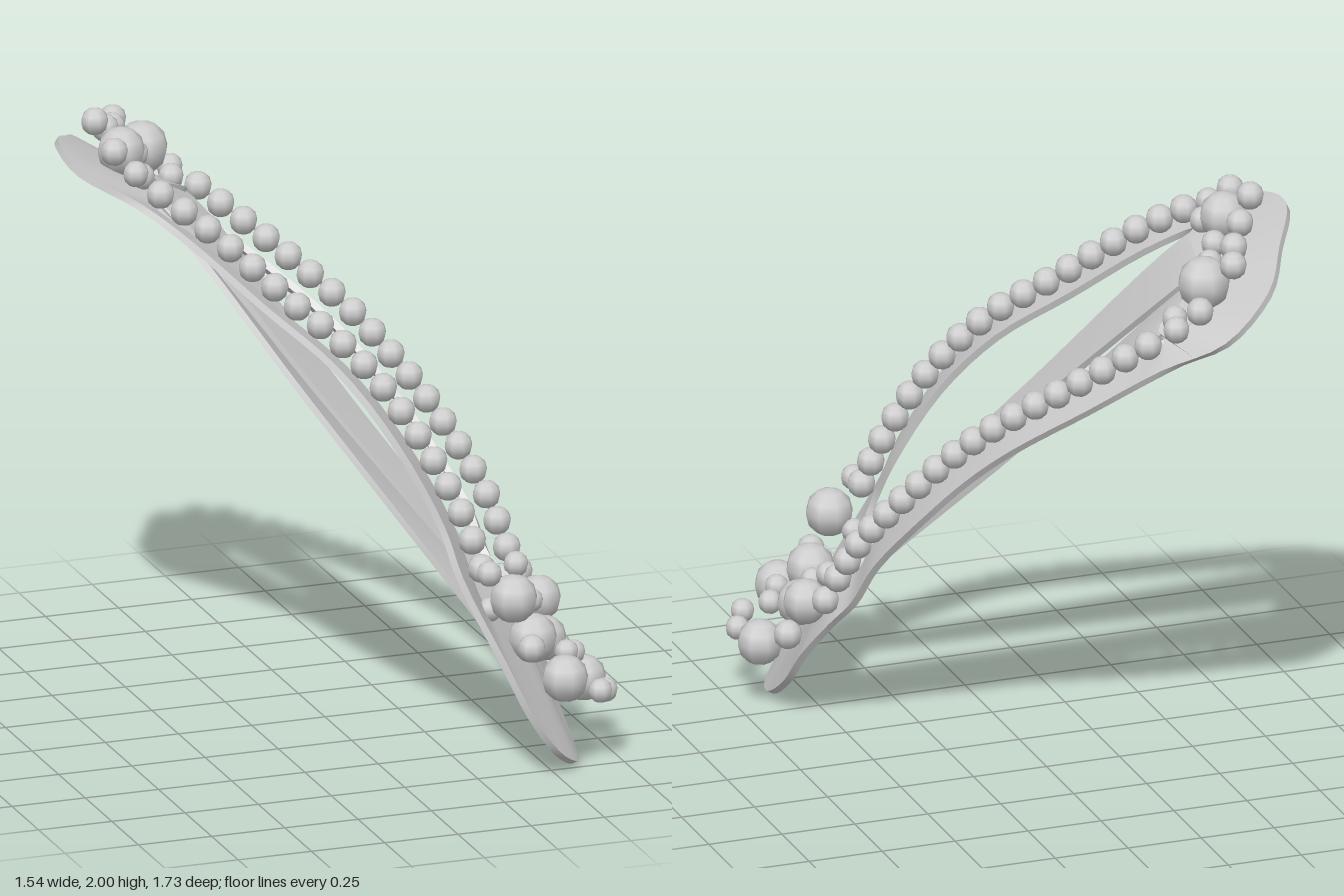
import * as THREE from 'three';
import { toCreasedNormals } from 'three/addons/utils/BufferGeometryUtils.js';

const V = (a) => new THREE.Vector3(...a);
const add = (a, b) => a.map((v, i) => v + b[i]);

// Centre lines of the two rows of small beads
const sideA = [[-.525, 1.8, -.1], [-.4, 1.7, .016], [-.205, 1.51, .186], [-.016, 1.33, .35],
  [.13, 1.11, .49], [.255, .84, .595], [.295, .68, .66]];
const sideB = [[.555, .57, .18], [.52, .73, .07], [.415, .96, -.117], [.315, 1.115, -.235],
  [.21, 1.25, -.36], [.02, 1.43, -.545], [-.18, 1.6, -.7]];

// Frame: pairs of outer and inner edge points around the ring
const framePairs = [
  ...sideA.map((p) => [add(p, [-.08, -.01, .05]), add(p, [-.01, -.05, -.05])]),
  // pointed lower end
  [[.33, .4, .8], [.32, .55, .6]],
  [[.405, .23, .84], [.36, .52, .58]],
  [[.5, .09, .83], [.41, .49, .54]],
  [[.6, .015, .73], [.45, .475, .5]],
  [[.63, .02, .63], [.47, .47, .46]],
  [[.635, .12, .46], [.49, .47, .43]],
  [[.625, .25, .34], [.51, .48, .38]],
  [[.575, .4, .21], [.52, .52, .3]],
  ...sideB.map((p) => [add(p, [-.024, -.07, -.056]), add(p, [-.07, -.01, .035])]),
  // broad upper end
  [[-.385, 1.64, -.865], [-.24, 1.62, -.63]],
  [[-.55, 1.77, -.81], [-.36, 1.68, -.55]],
  [[-.66, 1.85, -.62], [-.43, 1.73, -.47]],
  [[-.755, 1.905, -.43], [-.47, 1.745, -.35]],
  [[-.755, 1.87, -.21], [-.5, 1.76, -.22]],
];

// Inner bars: edge pairs from the upper end down, with a rounded lower tip
const barPairs = [
  [[[-.58, 1.8, -.2], [-.56, 1.8, -.42]],
    [[-.49, 1.74, -.16], [-.465, 1.735, -.41]],
    [[-.11, 1.16, .22], [-.03, 1.11, .08]],
    [[.27, .58, .6], [.41, .48, .57]],
    [[.33, .49, .65], [.42, .43, .62]],
    [[.37, .45, .66], [.4, .43, .65]]],
  [[[-.5, 1.78, -.56], [-.29, 1.65, -.71]],
    [[-.425, 1.735, -.49], [-.21, 1.6, -.62]],
    [[.0, 1.11, -.045], [.155, 1.03, -.14]],
    [[.43, .485, .4], [.52, .45, .34]],
    [[.48, .4, .45], [.54, .38, .4]],
    [[.51, .37, .45], [.53, .37, .44]]],
];

// Solid ribbon between two edge curves
function ribbon(pairs, closed, steps, thickness) {
  const [a, b] = [0, 1].map((k) =>
    new THREE.CatmullRomCurve3(pairs.map((p) => V(p[k])), closed, 'centripetal'));
  const rows = closed ? steps : steps + 1;
  const pos = [], index = [];
  for (let i = 0; i < rows; i++) {
    const t = i / steps;
    const p = a.getPoint(t), q = b.getPoint(t);
    const along = a.getTangent(t).add(b.getTangent(t));
    const down = along.cross(q.clone().sub(p)).normalize().multiplyScalar(-thickness);
    for (const c of [p, q, q.clone().add(down), p.clone().add(down)]) pos.push(c.x, c.y, c.z);
  }
  for (let i = 0; i < steps; i++) {
    const r = i * 4, s = ((i + 1) % rows) * 4;
    for (let k = 0; k < 4; k++) {
      const n = (k + 1) % 4;
      index.push(r + k, s + k, s + n, r + k, s + n, r + n);
    }
  }
  if (!closed) {
    const e = steps * 4;
    index.push(0, 1, 2, 0, 2, 3, e, e + 2, e + 1, e, e + 3, e + 2);
  }
  const g = new THREE.BufferGeometry();
  g.setAttribute('position', new THREE.Float32BufferAttribute(pos, 3));
  g.setIndex(index);
  return toCreasedNormals(g, .7);
}

// Loose beads: x, y, z, radius
const upperBeads = [
  [-.565, 1.87, -.36, .08], [-.39, 1.77, -.65, .088],
  [-.63, 1.955, -.43, .046], [-.63, 1.91, -.245, .046], [-.565, 1.9, -.51, .046],
  [-.505, 1.865, -.615, .046], [-.46, 1.85, -.73, .046], [-.535, 1.815, -.245, .043],
  [-.58, 1.85, -.18, .043], [-.495, 1.82, -.46, .043], [-.45, 1.79, -.54, .043],
  [-.33, 1.725, -.775, .046], [-.26, 1.66, -.745, .044], [-.29, 1.66, -.65, .043],
];
const lowerBeads = [
  [.39, .58, .7, .08], [.61, .44, .33, .075], [.475, .42, .645, .082],
  [.565, .365, .505, .075], [.535, .32, .785, .078], [.685, .23, .545, .076],
  [.33, .53, .64, .04], [.425, .43, .775, .046], [.585, .365, .66, .04], [.63, .34, .6, .04],
  [.55, .47, .43, .038], [.64, .3, .41, .048], [.665, .255, .76, .04], [.71, .23, .685, .04],
  [.55, .545, .28, .042], [.59, .49, .2, .046], [.3, .68, .72, .042],
];

export function createModel() {
  const group = new THREE.Group();
  const material = new THREE.MeshStandardMaterial({ color: 0xcccccc });
  const sphere = new THREE.SphereGeometry(1, 8, 6);

  const mesh = (geometry, name, parent = group) => {
    const m = new THREE.Mesh(geometry, material);
    m.name = name;
    parent.add(m);
    return m;
  };
  const beadSet = (list, name) => {
    const set = new THREE.Group();
    set.name = name;
    for (const [x, y, z, r] of list) {
      const bead = mesh(sphere, 'bead', set);
      bead.position.set(x, y, z);
      bead.scale.setScalar(r);
    }
    group.add(set);
  };
  const beadRow = (points, count) => new THREE.CatmullRomCurve3(points.map(V))
    .getSpacedPoints(count - 1).map((p) => [p.x, p.y, p.z, .047]);

  // Clip body
  mesh(ribbon(framePairs, true, 108, .022), 'frame');
  barPairs.forEach((pairs, i) => {
    const bar = mesh(ribbon(pairs, false, 30, .02), i ? 'rightBar' : 'leftBar');
    bar.position.set(-.011, -.01, -.003);
  });

  // Bead decoration
  beadSet(beadRow(sideA, 18), 'beadRowA');
  beadSet(beadRow(sideB, 18), 'beadRowB');
  beadSet(upperBeads, 'upperBeads');
  beadSet(lowerBeads, 'lowerBeads');
  return group;
}
